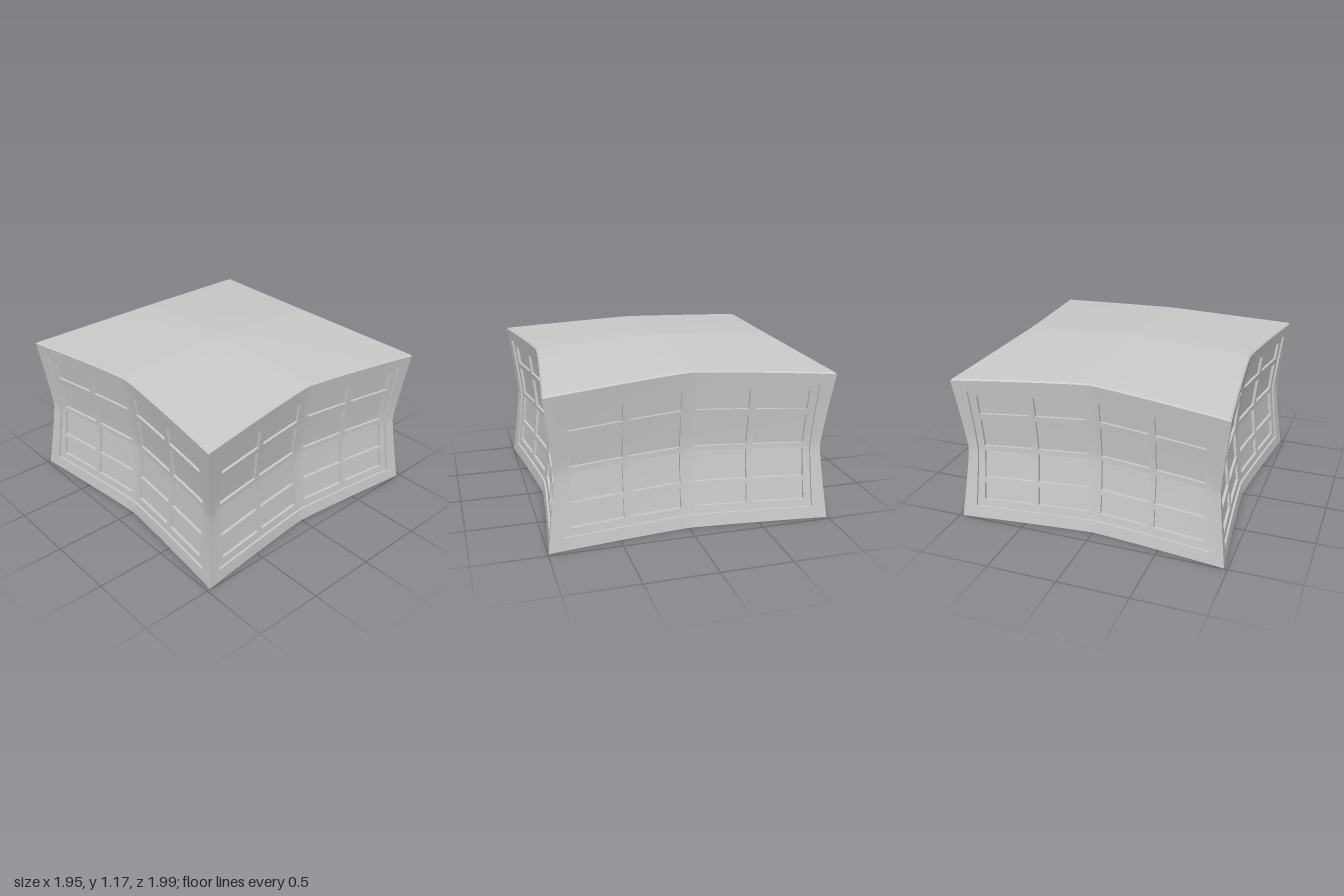
import * as THREE from 'three';
import { toCreasedNormals } from 'three/addons/utils/BufferGeometryUtils.js';

const HALF_X = 0.975, HALF_Z = 0.995;
const WINDOW_DEPTH = 0.015, PANEL_DEPTH = 0.035;
const COLUMNS = [[0.052, 0.42], [0.465, 0.84]]; // mirrored about the middle
const ROWS = [[0.13, 0.255], [0.29, 0.482], [0.515, 0.715], [0.755, 0.885]];
const WINDOW_U = 0.897, WINDOW_V = [0.08, 0.925];

const bow = t => 1 - Math.pow(Math.abs(t), 1.15);   // 0 at the ends, 1 in the middle
const pinch = v => 0.06 * bow(2 * v - 1);           // waist at mid height
const inside = (t, [a, b]) => t > a && t < b;

// Split the intervals between the breaks into short steps
function subdivide(breaks, step = 0.12) {
  const out = [breaks[0]];
  for (let i = 1; i < breaks.length; i++) {
    const a = breaks[i - 1], b = breaks[i], n = Math.ceil((b - a) / step);
    for (let k = 1; k < n; k++) out.push(a + (b - a) * k / n);
    out.push(b);
  }
  return out;
}

const halfBreaks = [...COLUMNS.flat(), WINDOW_U, 0.99, 1];
const U = subdivide([...halfBreaks.map(t => -t).reverse(), 0, ...halfBreaks]);
const V = subdivide([0, WINDOW_V[0], ...ROWS.flat(), WINDOW_V[1], 1]);

function addQuad(list, a, b, c, d) {
  for (const p of [a, b, c, a, c, d]) list.push(...p);
}

function makeMesh(name, positions, material) {
  const geometry = new THREE.BufferGeometry();
  geometry.setAttribute('position', new THREE.Float32BufferAttribute(positions, 3));
  const mesh = new THREE.Mesh(toCreasedNormals(geometry, 0.15), material);
  mesh.name = name;
  return mesh;
}

// Recess of a wall cell: frame, window field or sunken panel
function cellDepth(u, v) {
  const s = Math.abs(u);
  if (COLUMNS.some(c => inside(s, c)) && ROWS.some(r => inside(v, r))) return PANEL_DEPTH;
  return s < WINDOW_U && inside(v, WINDOW_V) ? WINDOW_DEPTH : 0;
}

// One concave wall facing +z, with stepped recesses
function wallPositions(halfWidth, distance) {
  const list = [];
  const point = (u, v, d) => [
    u * halfWidth - Math.sign(u) * pinch(v) * Math.pow(Math.abs(u), 8),
    v * (1.06 + 0.06 * bow(u)),
    distance - 0.105 * bow(u) - pinch(v) - d,
  ];
  const depthAt = (i, j) => cellDepth((U[i] + U[i + 1]) / 2, (V[j] + V[j + 1]) / 2);
  for (let i = 0; i < U.length - 1; i++) {
    for (let j = 0; j < V.length - 1; j++) {
      const u0 = U[i], u1 = U[i + 1], v0 = V[j], v1 = V[j + 1], a = depthAt(i, j);
      addQuad(list, point(u0, v0, a), point(u1, v0, a), point(u1, v1, a), point(u0, v1, a));
      // Step walls towards the next cell on the right and above
      const right = i < U.length - 2 ? depthAt(i + 1, j) : a;
      const above = j < V.length - 2 ? depthAt(i, j + 1) : a;
      if (right !== a) addQuad(list, point(u1, v0, a), point(u1, v0, right), point(u1, v1, right), point(u1, v1, a));
      if (above !== a) addQuad(list, point(u0, v1, a), point(u1, v1, a), point(u1, v1, above), point(u0, v1, above));
    }
  }
  return list;
}

// Four-cornered star-shaped sheet whose height follows a rule
function sheetPositions(height, faceUp) {
  const list = [];
  const point = (u, w) => [
    u * (HALF_X - 0.105 * bow(w)),
    height(u, w),
    w * (HALF_Z - 0.105 * bow(u)),
  ];
  for (let i = 0; i < U.length - 1; i++) {
    for (let j = 0; j < U.length - 1; j++) {
      const q = [point(U[i], U[j]), point(U[i], U[j + 1]), point(U[i + 1], U[j + 1]), point(U[i + 1], U[j])];
      addQuad(list, ...(faceUp ? q : q.reverse()));
    }
  }
  return list;
}

// Shallow dome with a small bevel along its rim
function domeHeight(u, w) {
  const rim = Math.max(Math.abs(u), Math.abs(w)) === 1 ? 0.01 : 0;
  return 1.07 + 0.06 * (bow(u) + bow(w)) - 0.015 * bow(u) * bow(w) - rim;
}

export function createModel() {
  const model = new THREE.Group();
  model.name = 'panelledBlock';
  const material = new THREE.MeshStandardMaterial({ color: 0xcccccc });

  ['frontWall', 'leftWall', 'backWall', 'rightWall'].forEach((name, k) => {
    const size = k % 2 ? [HALF_Z, HALF_X] : [HALF_X, HALF_Z];
    const wall = makeMesh(name, wallPositions(...size), material);
    wall.rotation.y = k * Math.PI / 2;
    model.add(wall);
  });

  model.add(makeMesh('domedTop', sheetPositions(domeHeight, true), material));
  model.add(makeMesh('flatBase', sheetPositions(() => 0, false), material));
  return model;
}
